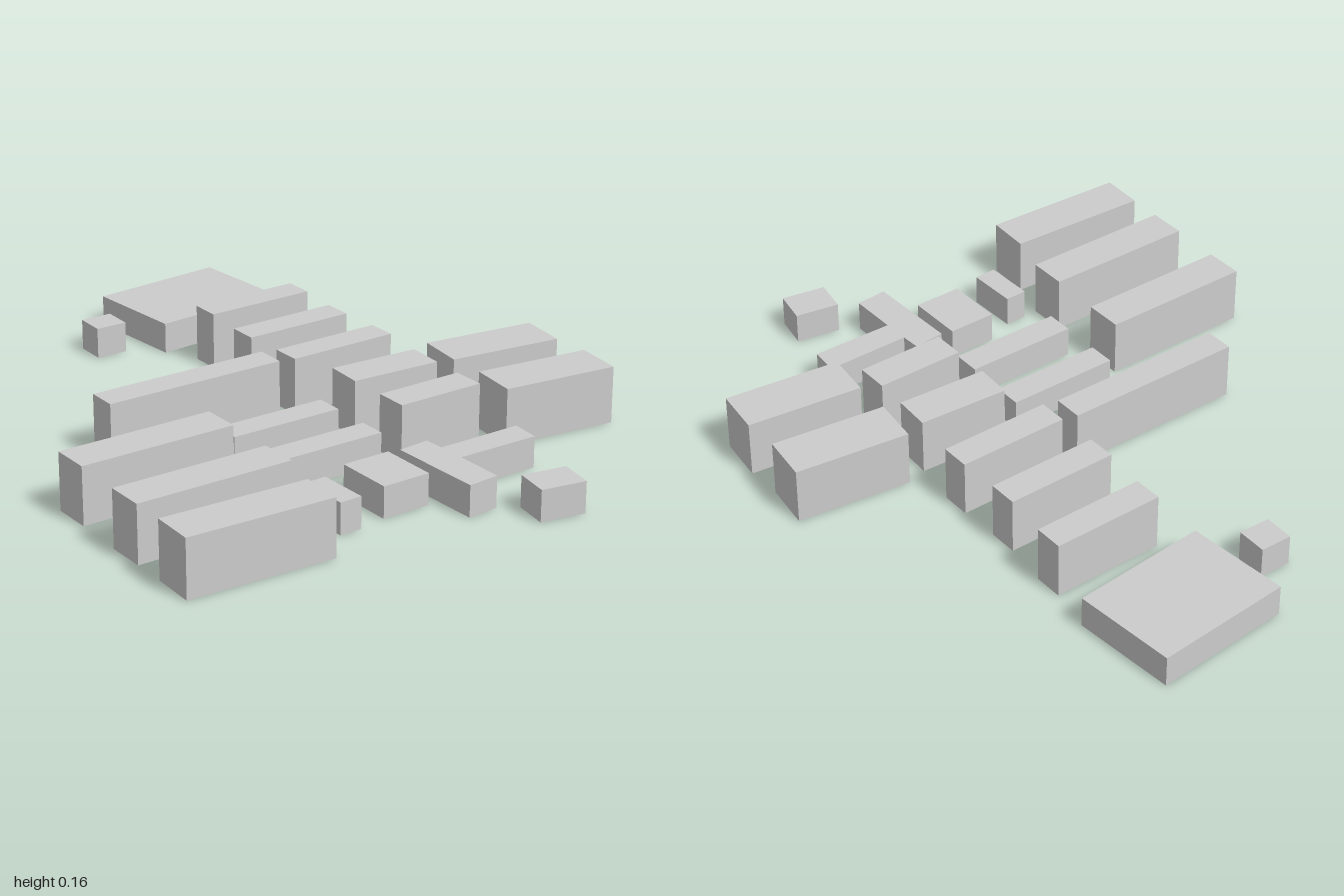
import * as THREE from 'three';

const TALL = 0.161;
const LOW = 0.088;

export function createModel() {
  const model = new THREE.Group();
  const grey = new THREE.MeshStandardMaterial({ color: 0xcccccc });
  grey.name = 'plain grey';

  // a box standing on the ground, turned by an angle in degrees
  const block = (name, height, x, z, width, depth, angle) => {
    const mesh = new THREE.Mesh(new THREE.BoxGeometry(width, height, depth), grey);
    mesh.name = name;
    mesh.position.set(x, height / 2, z);
    mesh.rotation.y = THREE.MathUtils.degToRad(angle);
    model.add(mesh);
  };

  // large hall and its hut at the back
  block('largeHall', LOW, -0.132, -0.783, 0.398, 0.301, 23.5);
  block('backHut', LOW, -0.418, -0.638, 0.092, 0.088, 17.5);

  // row of three equal slabs
  [[-0.012, -0.505], [0.041, -0.299], [0.11, -0.111]].forEach(([x, z], i) =>
    block('rowBlock' + (i + 1), TALL, x, z, 0.325, 0.085, 19));

  // long blocks on the right wing
  block('longBlock1', TALL, -0.338, 0.028, 0.53, 0.086, 18.4);
  block('longBlock2', TALL, -0.537, 0.396, 0.446, 0.112, 18.7);
  block('longBlock3', TALL, -0.459, 0.65, 0.446, 0.112, 18.5);
  block('longBlock4', TALL, -0.406, 0.87, 0.416, 0.126, 16.2);

  // low pair in the middle
  block('middleBlock1', LOW, -0.138, 0.197, 0.329, 0.08, 18.5);
  block('middleBlock2', LOW, -0.079, 0.381, 0.329, 0.08, 18.5);

  // tall blocks on the left wing
  block('leftBlock1', TALL, 0.189, 0.093, 0.262, 0.11, 15.3);
  block('leftBlock2', TALL, 0.249, 0.288, 0.258, 0.095, 19);
  block('leftBlock3', TALL, 0.526, 0.007, 0.33, 0.142, 11.5);
  block('leftBlock4', TALL, 0.591, 0.246, 0.335, 0.141, 11.8);

  // small low buildings at the front
  block('narrowHut', LOW, -0.136, 0.673, 0.064, 0.146, 20);
  block('squareHut', LOW, 0.029, 0.59, 0.14, 0.167, 19);
  block('frontHut', LOW, 0.41, 0.764, 0.128, 0.101, 8.5);

  // low T-shaped building, plan given as x and z
  const plan = [[0.1, 0.487], [0.185, 0.45], [0.206, 0.503], [0.44, 0.423],
    [0.46, 0.503], [0.233, 0.577], [0.28, 0.71], [0.196, 0.746]];
  const shape = new THREE.Shape(plan.map(([x, z]) => new THREE.Vector2(x, -z)));
  const geometry = new THREE.ExtrudeGeometry(shape, { depth: LOW, bevelEnabled: false });
  geometry.rotateX(-Math.PI / 2);
  const tBuilding = new THREE.Mesh(geometry, grey);
  tBuilding.name = 'tShapedBuilding';
  model.add(tBuilding);

  return model;
}
